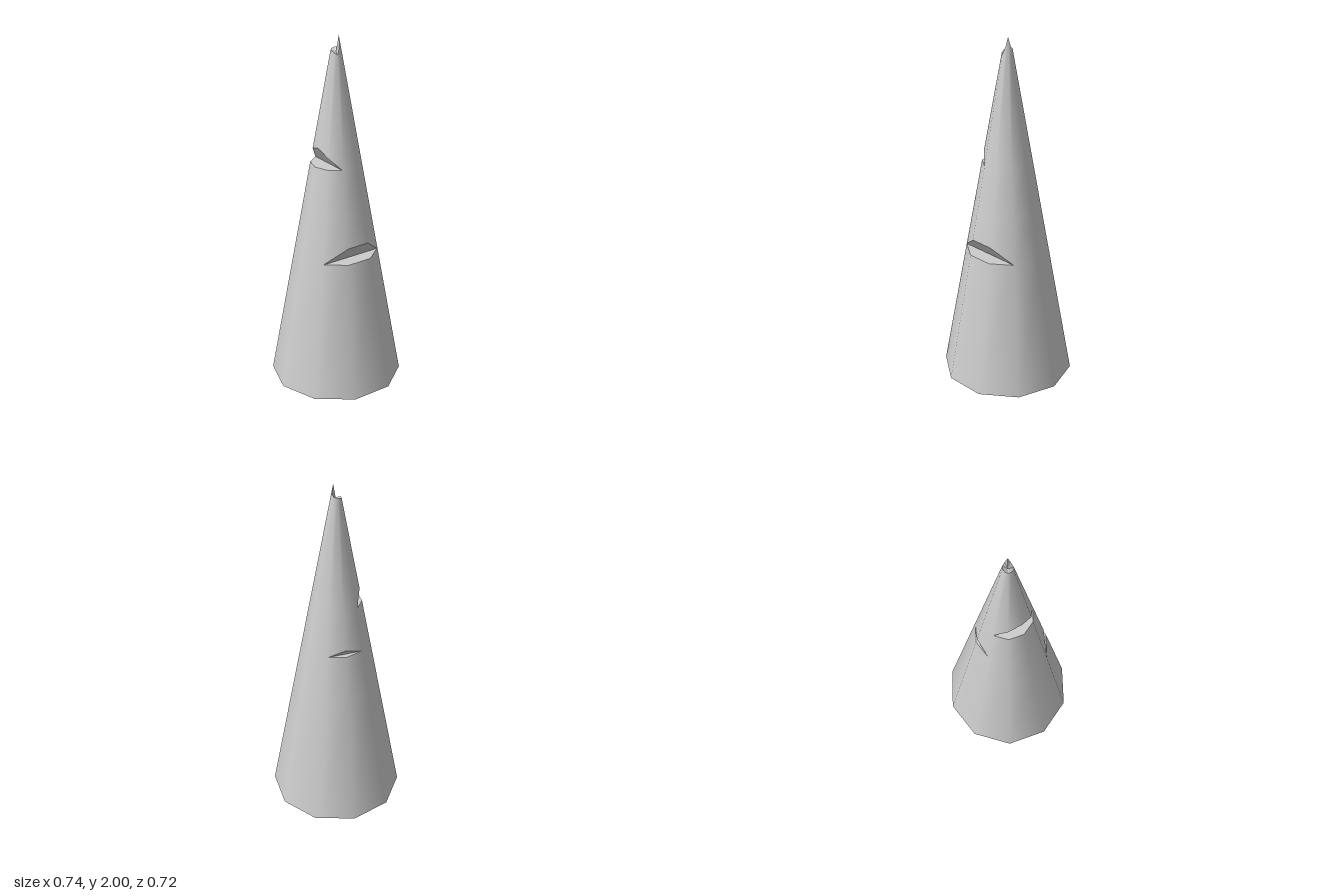
import * as THREE from 'three';

const SIDES = 10, RADIUS = 0.372, APEX = 2.08, TURN = THREE.MathUtils.degToRad(4.8);

// Each notch: floor height and the upper lip as [side position, height], running end to end.
const notches = [
  { name: 'frontNotch', floor: 0.775, lip: [[1.05, 0.775], [2, 0.865], [3, 0.865], [3.98, 0.775]] },
  { name: 'backNotch', floor: 1.04, lip: [[7.06, 1.04], [8, 1.08], [8.85, 1.04]] },
  { name: 'sideNotch', floor: 1.295, lip: [[3.1, 1.295], [4, 1.357], [5, 1.4], [6, 1.373], [6.97, 1.295]] },
];
// Broken rim height at each corner of the tip.
const rim = [1.945, 2, 1.95, 1.9, 1.91, 1.92, 1.92, 1.925, 1.93, 1.935, 1.945].map((y, i) => [i, y]);

// Point on the faceted cone: t counts corners around it, y is the height.
function onCone(t, y) {
  const i = Math.floor(t), r = RADIUS * (1 - y / APEX);
  const corner = (n) => new THREE.Vector3(r * Math.cos(TURN + n * Math.PI * 2 / SIDES), y, r * Math.sin(TURN + n * Math.PI * 2 / SIDES));
  return corner(i).lerp(corner(i + 1), t - i);
}

// Height along a broken line of [t, y] points, or the fallback outside it.
function heightAt(line, t, fallback) {
  for (let i = 0; i < line.length - 1; i++) {
    const [t0, y0] = line[i], [t1, y1] = line[i + 1];
    if (t >= t0 && t <= t1) return y0 + (y1 - y0) * (t - t0) / (t1 - t0);
  }
  return fallback;
}

function makeMesh(name, points, normals) {
  const g = new THREE.BufferGeometry().setFromPoints(points);
  if (normals) g.setAttribute('normal', new THREE.Float32BufferAttribute(normals.flatMap((n) => n.toArray()), 3));
  else g.computeVertexNormals();
  const mesh = new THREE.Mesh(g, new THREE.MeshStandardMaterial({ color: 0xcccccc }));
  mesh.name = name;
  return mesh;
}

// Flat fan of triangles from a hub point along a row of points.
function fan(hub, row) {
  return row.slice(1).flatMap((p, i) => [hub, row[i], p]);
}

export function createModel() {
  const model = new THREE.Group();
  model.name = 'notchedSpike';

  // Positions around the cone: every corner plus the ends of the notches.
  const around = [...Array(SIDES + 1).keys()];
  for (const { lip } of notches) around.push(lip[0][0], lip[lip.length - 1][0]);
  around.sort((a, b) => a - b);
  const loop = (line, y) => around.map((t) => onCone(t, heightAt(line, t, y)));

  // Smooth sloping side, in sections between one notch's lip and the next one's floor.
  const side = [];
  let lower = loop([], 0);
  const addSection = (upper) => {
    for (let i = 0; i < around.length - 1; i++) {
      side.push(lower[i], upper[i], lower[i + 1], lower[i + 1], upper[i], upper[i + 1]);
    }
  };
  for (const { floor, lip } of notches) {
    addSection(loop([], floor));
    lower = loop(lip, floor);
  }
  const top = loop(rim, 1.92);
  addSection(top);
  const normals = side.map((p) => {
    const r = Math.hypot(p.x, p.z);
    return new THREE.Vector3(p.x / r, RADIUS / APEX, p.z / r).normalize();
  });
  model.add(makeMesh('coneSide', side, normals));

  // Wedge cuts: a level floor and a sloping roof meeting in a straight inner edge.
  for (const { name, floor, lip } of notches) {
    const ledge = lip.map(([t]) => onCone(t, floor)).reverse();
    const roof = lip.map(([t, y]) => onCone(t, y));
    model.add(makeMesh(name, [...fan(ledge[0], ledge.slice(1)), ...fan(roof[0], roof.slice(1))]));
  }

  // Jagged broken tip and flat base.
  model.add(makeMesh('brokenTip', fan(new THREE.Vector3(0, 1.91, 0), [...top].reverse())));
  model.add(makeMesh('base', fan(new THREE.Vector3(), loop([], 0))));
  return model;
}
